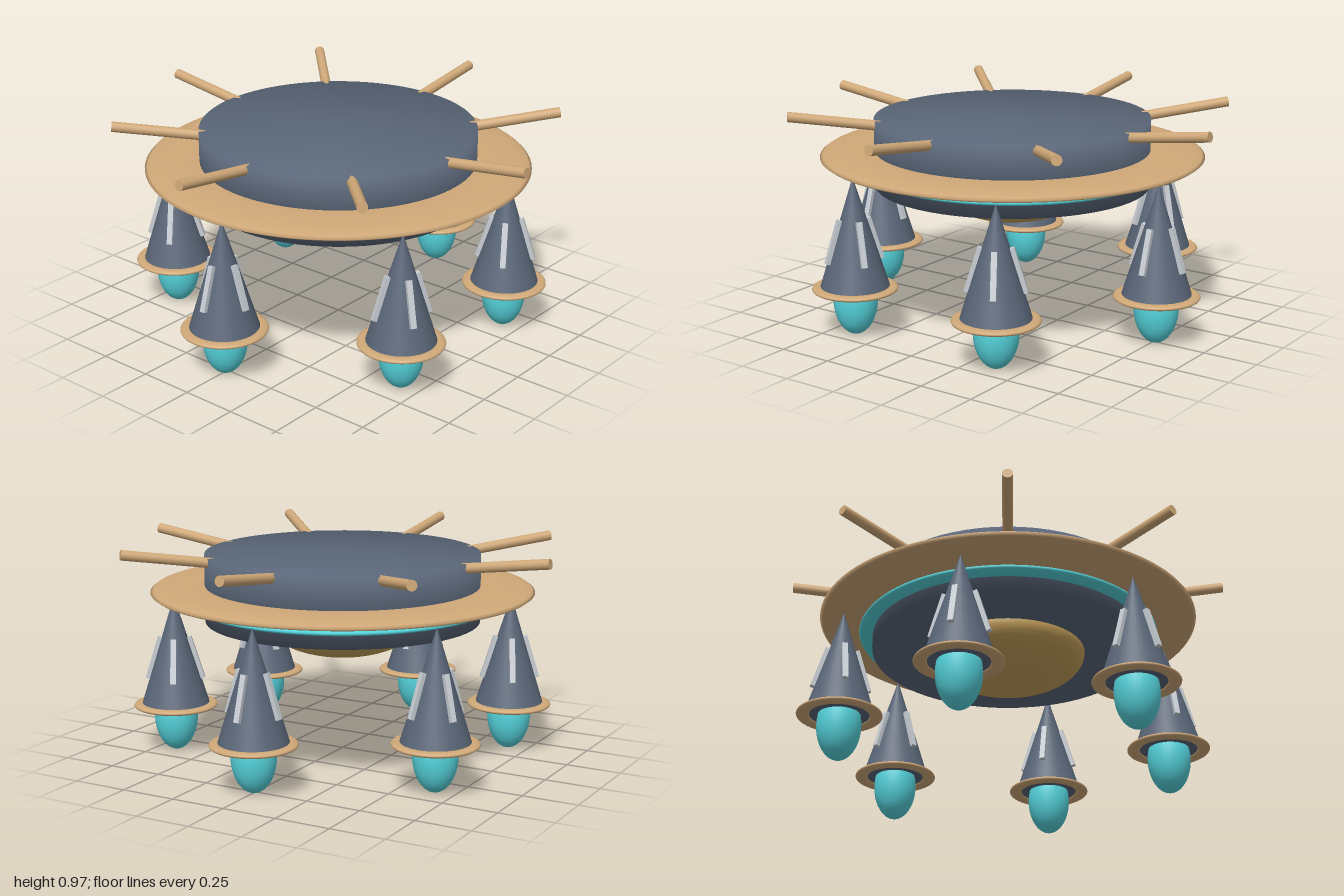
import * as THREE from 'three';

const mat = (name, color) => {
  const m = new THREE.MeshStandardMaterial({ color });
  m.name = name;
  return m;
};

export function createModel() {
  const slate = mat('slate', 0x5a6678);
  const tan = mat('tan', 0xcfa878);
  const gold = mat('gold', 0xc4a05a);
  const cyan = mat('cyan', 0x55d3dc);
  const silver = mat('silver', 0xc8ced4);

  const root = new THREE.Group();
  root.name = 'saucerStation';

  const add = (parent, name, geometry, material, x = 0, y = 0, z = 0) => {
    const mesh = new THREE.Mesh(geometry, material);
    mesh.name = name;
    mesh.position.set(x, y, z);
    parent.add(mesh);
    return mesh;
  };
  // Horizontal ring squashed to a lens-shaped section
  const flatRing = (radius, tube, halfHeight, segments) =>
    new THREE.TorusGeometry(radius, tube, 16, segments)
      .rotateX(Math.PI / 2)
      .scale(1, halfHeight / tube, 1);

  // Main drum, softly shaded across its rims
  const profile = [[0, 0.605], [0.618, 0.605], [0.618, 0.91], [0, 0.91]]
    .map(([x, y]) => new THREE.Vector2(x, y));
  add(root, 'body', new THREE.LatheGeometry(profile, 64), slate);

  // Rings around the drum and the belly dome
  add(root, 'outerRing', flatRing(0.68, 0.18, 0.026, 96), tan, 0, 0.745, 0);
  add(root, 'glowRing', flatRing(0.62, 0.06, 0.017, 96), cyan, 0, 0.685, 0);
  add(root, 'bellyDome', new THREE.SphereGeometry(1, 48, 24).scale(0.35, 0.155, 0.35),
    gold, 0, 0.6, 0);

  // Eight rods slanting up and out of the drum's rim
  const rodGeometry = new THREE.CylinderGeometry(0.023, 0.023, 0.5, 16);
  for (let i = 0; i < 8; i++) {
    const arm = new THREE.Group();
    arm.name = 'rodArm';
    arm.rotation.y = (i * Math.PI) / 4;
    root.add(arm);
    add(arm, 'rod', rodGeometry, tan, 0.748, 0.909, 0).rotation.z = -Math.PI / 2 + 0.134;
  }

  // Six hanging pods
  const coneRadius = 0.155, coneHeight = 0.5, coneBase = 0.21;
  const coneGeometry = new THREE.ConeGeometry(coneRadius, coneHeight, 32);
  const collarGeometry = flatRing(0.16, 0.029, 0.012, 48);
  const bulbGeometry = new THREE.SphereGeometry(1, 32, 20).scale(0.098, 0.16, 0.098);
  const finGeometry = new THREE.BoxGeometry(0.025, 0.2, 0.025);
  const slope = Math.atan(coneRadius / coneHeight);
  for (let i = 0; i < 6; i++) {
    const spoke = new THREE.Group();
    spoke.name = 'podSpoke';
    spoke.rotation.y = (i * Math.PI) / 3;
    root.add(spoke);
    const pod = new THREE.Group();
    pod.name = 'pod';
    pod.position.x = 0.76;
    spoke.add(pod);
    add(pod, 'podCone', coneGeometry, slate, 0, coneBase + coneHeight / 2, 0);
    add(pod, 'podCollar', collarGeometry, tan, 0, coneBase, 0);
    add(pod, 'podBulb', bulbGeometry, cyan, 0, 0.16, 0);
    // Four strips lying along the cone
    for (let k = 0; k < 4; k++) {
      const side = new THREE.Group();
      side.name = 'podFinSide';
      side.rotation.y = (k * Math.PI) / 2;
      pod.add(side);
      add(side, 'podFin', finGeometry, silver, 0.093, 0.428, 0).rotation.z = slope;
    }
  }
  return root;
}
